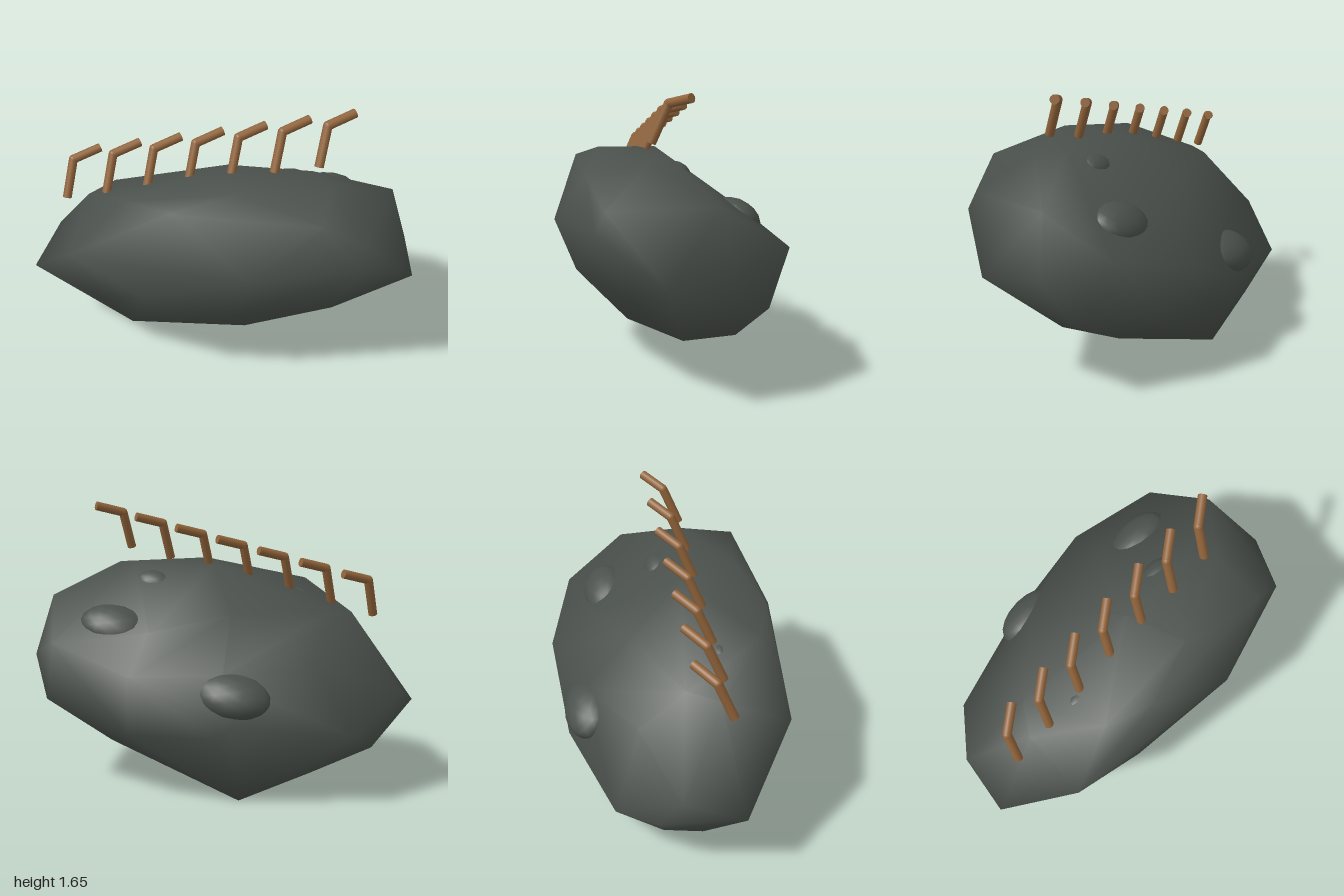
import * as THREE from 'three';
import { ConvexGeometry } from 'three/addons/geometries/ConvexGeometry.js';

const V = (x, y, z) => new THREE.Vector3(x, y, z);

export function createModel() {
  const group = new THREE.Group();
  const stone = new THREE.MeshStandardMaterial({ color: 0x4a504b });
  stone.name = 'dark grey stone';
  const wood = new THREE.MeshStandardMaterial({ color: 0x90633a });
  wood.name = 'brown wood';

  const add = (name, geometry, material, parent = group) => {
    const mesh = new THREE.Mesh(geometry, material);
    mesh.name = name;
    parent.add(mesh);
    return mesh;
  };

  // Maps a unit sphere to the tilted, flattened boulder
  const tilt = new THREE.Matrix4().set(
    1, 0, 0, 0,
    0.22, 0.612, 0, 0.65,
    -0.35, 0.175, 0.783, 0,
    0, 0, 0, 1);
  const untilt = tilt.clone().invert();

  // Corners of the boulder
  const corners = [
    // right end
    [1, 0.72, -0.49], [0.985, 0.96, -0.07], [0.94, 1.07, -0.1], [0.57, 0.91, 0.42],
    // left end
    [-1, 0.6, 0.5], [-0.98, 0.39, 0.35], [-0.985, 0.4, 0.1], [-0.86, 0.49, 0.81],
    [-0.91, 0.29, 0.35], [-0.39, 0.84, 0.875],
    // back
    [0.4, 0.87, -0.875], [0.75, 0.75, -0.74], [0.7, 1.1, -0.64], [0.58, 0.51, -0.79],
    [-0.1, 0.72, -0.74], [-0.56, 0.47, -0.4],
    // top
    [0.33, 1.295, 0.27], [0.45, 1.29, -0.22], [0.62, 1.28, -0.19], [0.8, 1.22, 0.08],
    [0.05, 1.275, 0.05], [0.1, 1.2, 0.55], [-0.18, 1.18, 0.62],
    [-0.6, 1.02, 0.35], [-0.6, 1.01, 0.55],
    // underside
    [-0.44, 0, -0.23], [-0.17, 0.09, -0.15], [0.54, 0.3, -0.36], [-0.33, 0.18, 0.5],
    [-0.78, 0.23, 0.53], [-0.76, 0.18, 0], [0.12, 0.49, 0.55],
  ].map((c) => V(...c).applyMatrix4(untilt));

  // Boulder: hull of a rounded core and the corners, with smooth normals
  const core = new THREE.IcosahedronGeometry(0.87, 1).getAttribute('position');
  for (let i = 0; i < core.count; i++) corners.push(new THREE.Vector3().fromBufferAttribute(core, i));
  const boulder = new ConvexGeometry(corners);
  boulder.setAttribute('normal', boulder.getAttribute('position').clone());
  boulder.normalizeNormals();
  boulder.applyMatrix4(tilt);
  add('boulder', boulder, stone);

  // Low lumps half sunk into the boulder: place, radius, height of the crown
  const lumps = [
    [-0.54, 0.61, -0.36, 0.19, 0.99], [0.3, 1.01, -0.65, 0.18, 1],
    [0.3, 1.22, -0.22, 0.1, 0.97], [-0.33, 1.14, 0.45, 0.08, 0.98],
  ];
  lumps.forEach(([x, y, z, r, crown], i) => {
    const c = V(x, y, z).applyMatrix4(untilt).setLength(crown - r);
    const lump = new THREE.IcosahedronGeometry(r, 2).translate(c.x, c.y, c.z).applyMatrix4(tilt);
    add('lump' + (i + 1), lump, stone);
  });

  // Straight round rod between two points
  const rod = (name, a, b, parent) => {
    const dir = b.clone().sub(a);
    const mesh = add(name, new THREE.CylinderGeometry(0.026, 0.026, dir.length(), 12), wood, parent);
    mesh.position.copy(a).add(b).multiplyScalar(0.5);
    mesh.quaternion.setFromUnitVectors(V(0, 1, 0), dir.normalize());
  };

  // Row of seven bent pegs climbing along the top
  for (let i = 0; i < 7; i++) {
    const peg = new THREE.Group();
    peg.name = 'peg' + (i + 1);
    peg.position.set(-0.68 + 0.2025 * i, 0.995 + 0.063 * i, 0.65 - 0.1365 * i);
    const elbow = V(-0.028, 0.21, -0.088);
    rod('pegStem', V(0, 0, 0), elbow, peg);
    rod('pegHook', elbow, V(0.03, 0.25, -0.245), peg);
    add('pegElbow', new THREE.SphereGeometry(0.026, 12, 8), wood, peg).position.copy(elbow);
    group.add(peg);
  }
  return group;
}
